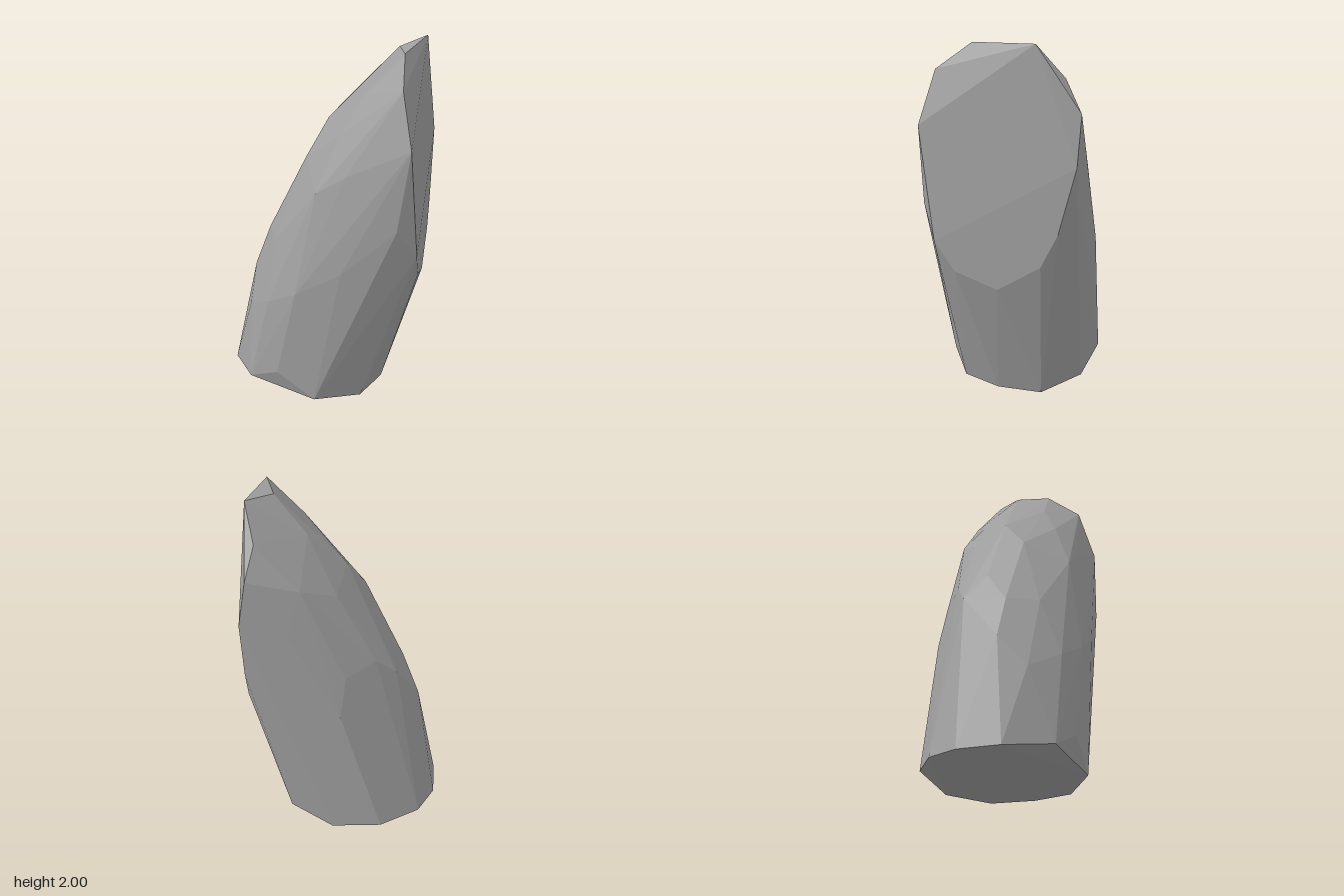
import * as THREE from 'three';
import { ConvexGeometry } from 'three/addons/geometries/ConvexGeometry.js';

// A leaning, faceted standing stone: a convex hull around a few corner rings.
export function createModel() {
  const group = new THREE.Group();
  group.name = 'standingStone';
  const stone = new THREE.MeshStandardMaterial({ color: 0xa0a0a0 });
  stone.name = 'stoneGrey';

  // tilted underside
  const base = [
    [-0.54, 0.06, 0.1], [-0.39, 0.09, 0.33], [0, 0.03, 0.41], [0.24, 0, 0.27], [0.33, 0, 0.05],
    [0.33, 0, -0.2], [0.08, 0, -0.38], [-0.2, 0.06, -0.43], [-0.425, 0.06, -0.3], [-0.525, 0.06, -0.13],
  ];
  // outline of the broad flat cut on the +x side
  const cut = [
    [0.5, 1.56, 0.41], [0.54, 0.95, 0.33], [0.54, 0.79, 0.22], [0.54, 0.71, -0.01], [0.54, 0.86, -0.24],
    [0.54, 1.05, -0.33], [0.54, 1.41, -0.42], [0.495, 1.67, -0.43], [0.5, 2, -0.2],
  ];
  // worn tip
  const tip = [[0.42, 1.98, 0.14], [0.37, 1.97, -0.05], [0.44, 1.84, 0.33], [0.45, 1.83, -0.34]];
  // sloping, chipped side
  const slope = [
    [0, 1.57, -0.03], [-0.1, 1.38, 0.105], [0.23, 1.77, 0.155], [0.115, 1.57, 0.245], [0, 1.27, 0.345],
    [-0.32, 0.93, 0.06], [-0.415, 0.68, 0.04], [-0.225, 1.13, -0.07], [-0.275, 0.98, -0.19],
    [-0.16, 1.1, -0.26], [0.2, 1.78, -0.12], [0.05, 1.48, -0.23], [0.23, 1.58, -0.36],
    [-0.25, 0.93, 0.23], [-0.41, 0.5, 0.2],
  ];
  // front and back flanks
  const flanks = [
    [0.44, 1.12, 0.415], [0.16, 1.38, 0.37], [0.15, 0.85, 0.43], [-0.1, 0.7, 0.42], [-0.215, 0.18, 0.4],
    [-0.27, 0.6, 0.345], [0, 1.06, -0.375], [0.03, 0.85, -0.435], [0.3, 1.35, -0.43],
  ];

  const points = [...base, ...cut, ...tip, ...slope, ...flanks].map((p) => new THREE.Vector3(...p));
  const mesh = new THREE.Mesh(new ConvexGeometry(points), stone);
  mesh.name = 'stone';
  group.add(mesh);
  return group;
}
